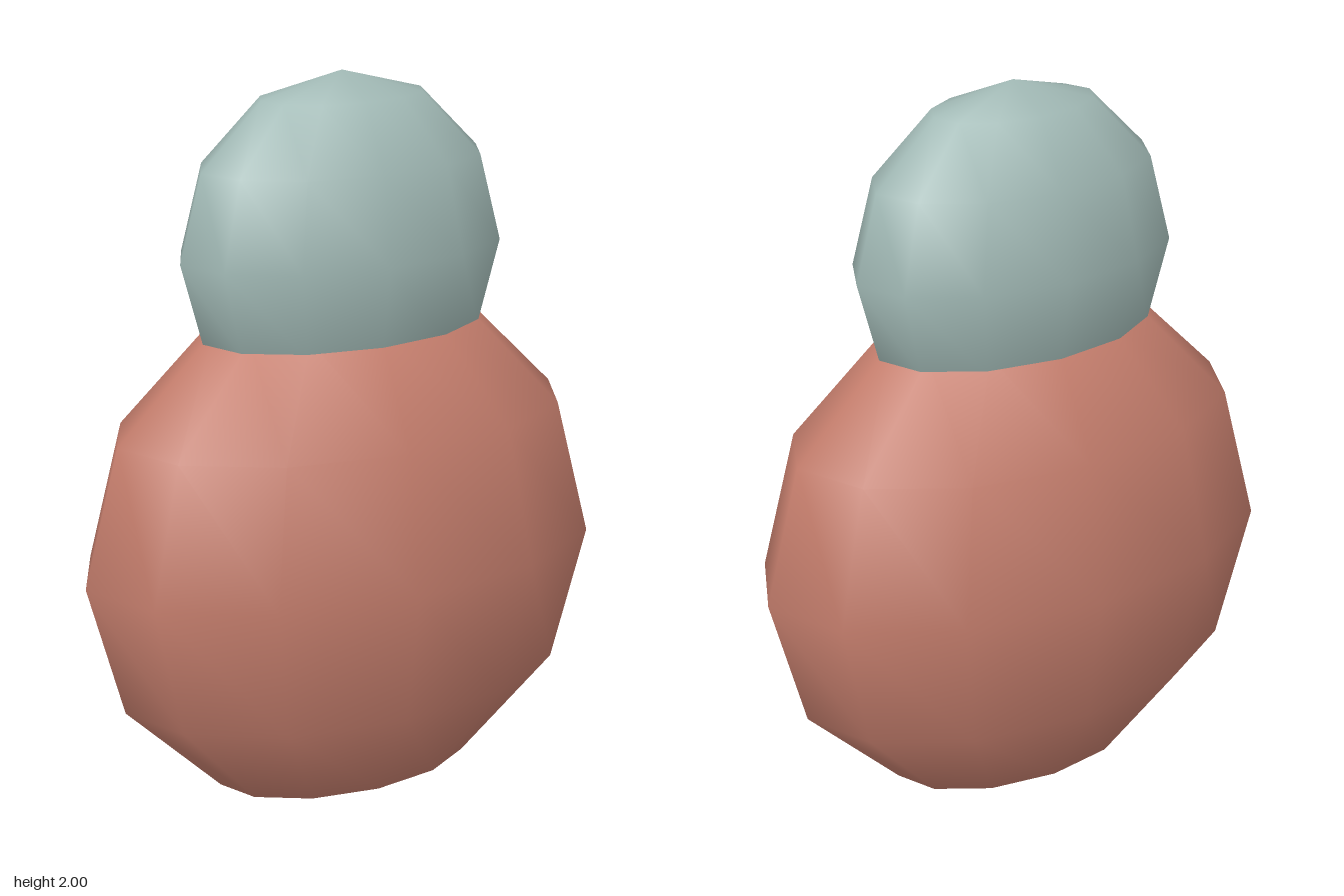
import * as THREE from 'three';

const DEPTH = 0.588; // both parts are flattened front to back by the same ratio

// Smooth twelve-sided ellipsoid with six rings
function ellipsoid(name, radius, y, material) {
  const geometry = new THREE.SphereGeometry(radius, 12, 6);
  geometry.scale(1, 1, DEPTH);
  const mesh = new THREE.Mesh(geometry, material);
  mesh.name = name;
  mesh.position.y = y;
  return mesh;
}

export function createModel() {
  const terracotta = new THREE.MeshStandardMaterial({ color: 0xc47d6c });
  terracotta.name = 'terracotta';
  const sage = new THREE.MeshStandardMaterial({ color: 0xa2bab6 });
  sage.name = 'sage';

  const group = new THREE.Group();
  group.name = 'figure';
  group.add(
    ellipsoid('body', 0.73, 0.733, terracotta),
    ellipsoid('head', 0.45, 1.55, sage)
  );
  return group;
}
